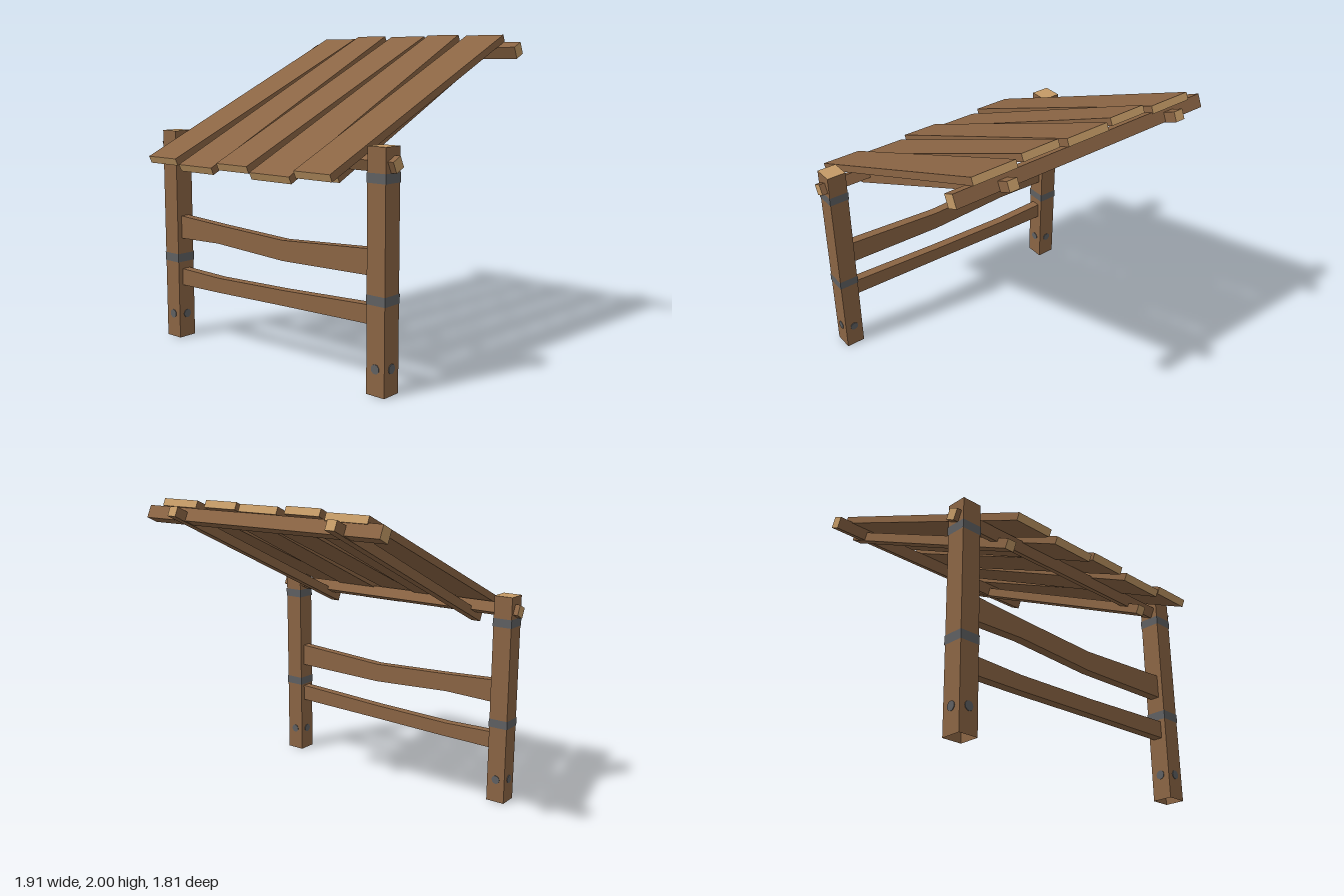
import * as THREE from 'three';

const mat = (name, color, side = THREE.FrontSide) => {
  const m = new THREE.MeshStandardMaterial({ color, side });
  m.name = name;
  return m;
};

export function createModel() {
  const model = new THREE.Group();
  model.name = 'leanToShelter';
  const wood = mat('brownWood', 0x8b6544);
  const postWood = mat('brownPostWood', 0x8b6544, THREE.DoubleSide);
  const endGrain = mat('tanEndGrain', 0xc49a66);
  const iron = mat('greyIron', 0x5f6062);

  const add = (name, geometry, material, x = 0, y = 0, z = 0, parent = model) => {
    const mesh = new THREE.Mesh(geometry, material);
    mesh.name = name;
    mesh.position.set(x, y, z);
    parent.add(mesh);
    return mesh;
  };

  // Box without some faces (order: +x, -x, +y, -y, +z, -z)
  const openBox = (w, h, d, skip) => {
    const g = new THREE.BoxGeometry(w, h, d);
    const index = Array.from(g.index.array);
    const kept = g.groups.filter((_, i) => !skip.includes(i));
    g.setIndex(kept.flatMap(k => index.slice(k.start, k.start + 6)));
    g.clearGroups();
    kept.forEach((k, i) => g.addGroup(i * 6, 6, k.materialIndex));
    return g;
  };

  const POST = 0.126, POST_Z = 0.58;
  const topGrain = [postWood, postWood, endGrain, postWood, postWood, postWood];

  // Posts, open underneath, with iron bands and bolt heads
  for (const [side, x] of [['right', -0.865], ['left', 0.855]]) {
    const post = new THREE.Group();
    post.name = side + 'Post';
    post.position.set(x, 0, POST_Z);
    model.add(post);
    add(side + 'PostTimber', openBox(POST, 1.38, POST, [3]), topGrain, 0, 0.69, 0, post);
    for (const y of [0.54, 1.21]) {
      add(side + 'PostBand', openBox(POST + 0.006, 0.055, POST + 0.006, [2, 3]), iron, 0, y, 0, post);
    }
    for (let i = 0; i < 4; i++) {
      const a = i * Math.PI / 2, r = POST / 2 + 0.001;
      const bolt = add(side + 'PostBolt', new THREE.CylinderGeometry(0.028, 0.028, 0.006, 12).rotateX(Math.PI / 2),
        iron, Math.sin(a) * r, 0.155, Math.cos(a) * r, post);
      bolt.rotation.y = a;
    }
  }

  // Uneven rails between the posts: [x, bottom, top]
  const rail = (name, stations) => {
    const top = stations.map(([x, , t]) => new THREE.Vector2(x, t)).reverse();
    const bottom = stations.map(([x, b]) => new THREE.Vector2(x, b));
    const g = new THREE.ExtrudeGeometry(new THREE.Shape([...bottom, ...top]), { depth: 0.06, bevelEnabled: false });
    add(name, g, wood, 0, 0, POST_Z - 0.03);
  };
  rail('upperRail', [[-0.81, 0.67, 0.82], [-0.45, 0.68, 0.8], [0.12, 0.65, 0.775], [0.8, 0.665, 0.815]]);
  rail('lowerRail', [[-0.81, 0.355, 0.465], [-0.45, 0.36, 0.455], [0.12, 0.375, 0.47], [0.8, 0.39, 0.5]]);

  // Crossbars, tilted with the roof, with end grain at both ends
  const SLOPE = 0.443;
  const barEnds = [endGrain, endGrain, wood, wood, wood, wood];
  for (const [name, x0, x1, y, z, s] of [
    ['lowerCrossbar', -0.96, 0.955, 1.285, 0.58, 0.07],
    ['upperCrossbar', -0.855, 0.88, 1.895, -0.77, 0.08],
  ]) {
    add(name, new THREE.BoxGeometry(x1 - x0, s, s), barEnds, (x0 + x1) / 2, y, z).rotation.x = SLOPE;
  }

  // Rafters
  const longEnds = [wood, wood, wood, wood, endGrain, endGrain];
  for (const [side, x] of [['right', -0.595], ['left', 0.58]]) {
    add(side + 'Rafter', new THREE.BoxGeometry(0.064, 0.06, 1.73), longEnds, x, 1.564, -0.107).rotation.x = SLOPE;
  }

  // Tapered roof planks: x range at front and back, then y and z of the top edges
  const T = 0.046;
  const planks = [
    [-0.75, -0.495, -0.76, -0.48, 1.24, 0.9, 1.985, -0.78],
    [-0.455, -0.165, -0.43, -0.185, 1.21, 0.907, 2, -0.76],
    [-0.127, 0.125, -0.143, 0.14, 1.24, 0.9, 1.995, -0.78],
    [0.155, 0.463, 0.185, 0.43, 1.21, 0.907, 2, -0.76],
    [0.49, 0.75, 0.48, 0.76, 1.245, 0.9, 1.995, -0.78],
  ];
  planks.forEach(([f0, f1, b0, b1, yf, zf, yb, zb], n) => {
    const g = new THREE.BoxGeometry(1, T, Math.hypot(yb - yf, zf - zb)).translate(0, -T / 2, 0);
    const p = g.attributes.position;
    for (let i = 0; i < p.count; i++) {
      const [a, b] = p.getZ(i) > 0 ? [f0, f1] : [b0, b1];
      p.setX(i, p.getX(i) < 0 ? a : b);
    }
    g.computeVertexNormals();
    add('roofPlank' + (n + 1), g, longEnds, 0, (yf + yb) / 2, (zf + zb) / 2)
      .rotation.x = Math.atan2(yb - yf, zf - zb);
  });

  return model;
}
